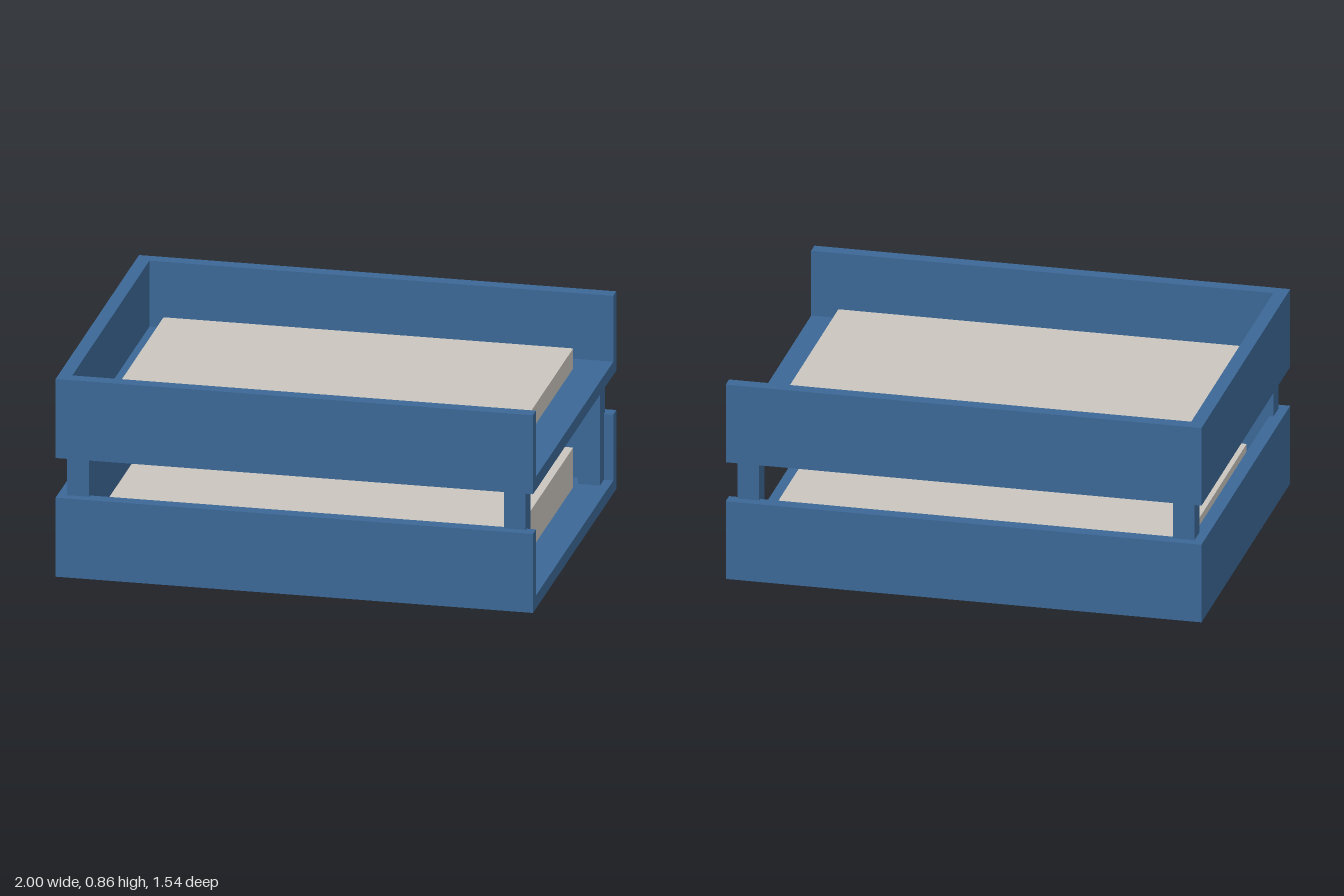
import * as THREE from 'three';

export function createModel() {
  const blue = new THREE.MeshStandardMaterial({ color: 0x3b6896 });
  blue.name = 'blue plastic';
  const paper = new THREE.MeshStandardMaterial({ color: 0xcac6be });
  paper.name = 'paper';

  const model = new THREE.Group();
  model.name = 'letterTrays';

  const W = 1, D = 0.772, T = 0.057, H = 0.343; // half width, half depth, wall, tray height

  // Box given by its minimum and maximum corners
  const box = (parent, name, material, [x0, y0, z0], [x1, y1, z1]) => {
    const mesh = new THREE.Mesh(new THREE.BoxGeometry(x1 - x0, y1 - y0, z1 - z0), material);
    mesh.position.set((x0 + x1) / 2, (y0 + y1) / 2, (z0 + z1) / 2);
    mesh.name = name;
    parent.add(mesh);
  };

  // Tray open towards +x, holding a stack of paper
  const addTray = (name, y, paperHeight) => {
    const tray = new THREE.Group();
    tray.name = name;
    tray.position.y = y;

    // Three walls in one U-shaped outline, standing on the floor
    const outline = new THREE.Shape([
      [-W, -D], [W, -D], [W, -D + T], [-W + T, -D + T],
      [-W + T, D - T], [W, D - T], [W, D], [-W, D],
    ].map(([x, z]) => new THREE.Vector2(x, z)));
    const walls = new THREE.Mesh(
      new THREE.ExtrudeGeometry(outline, { depth: H - T, bevelEnabled: false }).rotateX(-Math.PI / 2),
      blue
    );
    walls.position.y = T;
    walls.name = 'walls';
    tray.add(walls);

    box(tray, 'floor', blue, [-W, 0, -D], [W, T, D]);
    box(tray, 'paperStack', paper, [-0.858, T, -0.6], [0.858, T + paperHeight, 0.6]);
    model.add(tray);
  };
  addTray('lowerTray', 0, 0.172);
  addTray('upperTray', 0.515, 0.087);

  // Corner posts carrying the upper tray
  for (const sx of [-1, 1]) {
    for (const sz of [-1, 1]) {
      const x = sx * 0.915, z = sz * 0.687, r = 0.0455;
      box(model, 'post', blue, [x - r, T, z - r], [x + r, 0.515, z + r]);
    }
  }
  return model;
}
